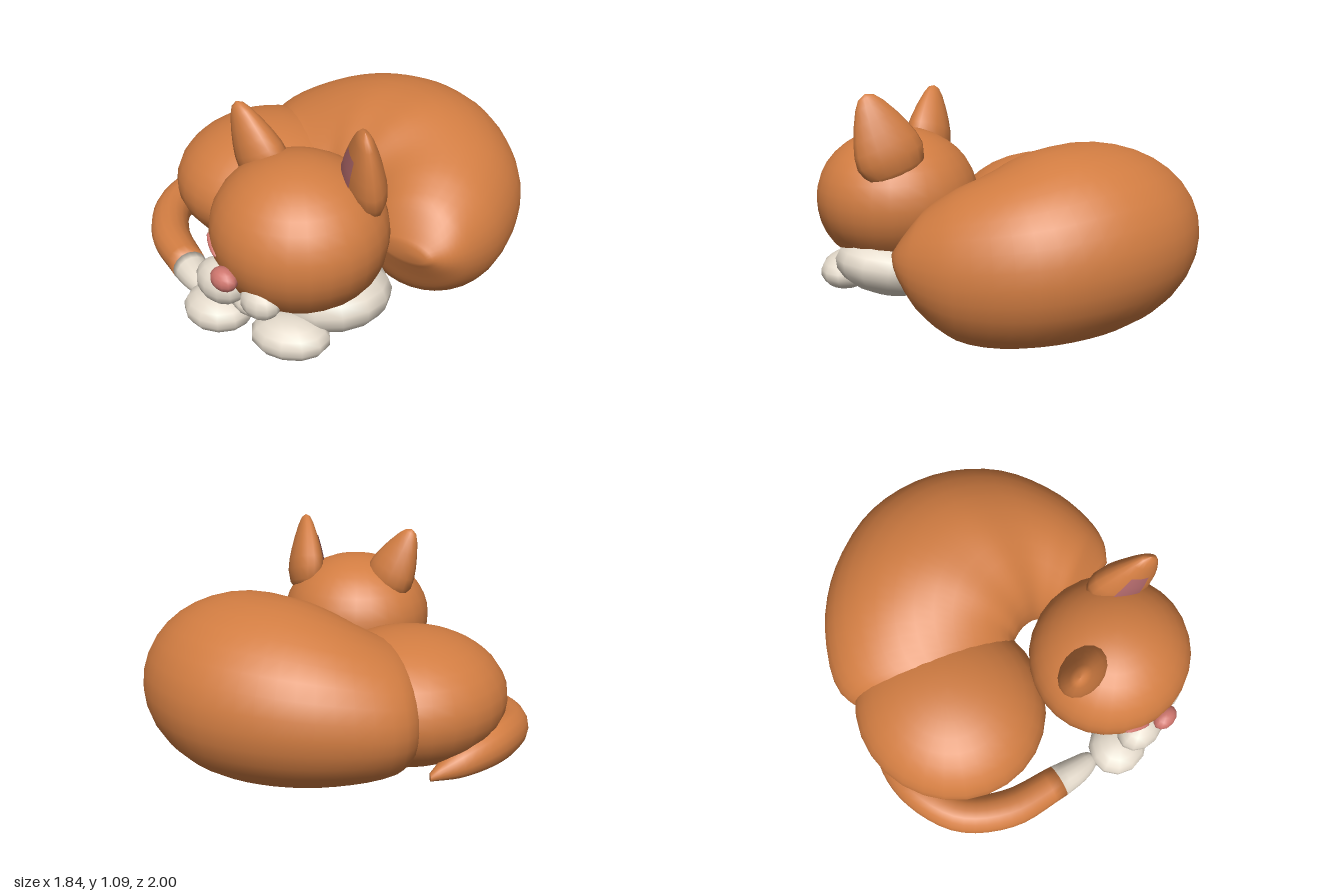
import * as THREE from 'three';

const mat = (name, color, side = THREE.FrontSide) => {
  const m = new THREE.MeshStandardMaterial({ color, side });
  m.name = name;
  return m;
};

// Smooth closed loft resting on the ground. Each station: [x1, z1, x2, z2, half height, centre y]
function loft(stations, steps, sides) {
  const spline = (f) => new THREE.CatmullRomCurve3(stations.map(f));
  const first = spline((s) => new THREE.Vector3(s[0], s[5], s[1]));
  const second = spline((s) => new THREE.Vector3(s[2], s[5], s[3]));
  const heights = spline((s, i) => new THREE.Vector3(s[4], i, 0));
  const pos = [], idx = [];
  for (let i = 0; i <= steps; i++) {
    const t = i / steps;
    const a = first.getPoint(t), b = second.getPoint(t), h = heights.getPoint(t).x;
    const mid = a.clone().add(b).multiplyScalar(0.5);
    const half = b.clone().sub(a).multiplyScalar(0.5);
    for (let j = 0; j < sides; j++) {
      const th = (j / sides) * Math.PI * 2;
      const p = mid.clone().addScaledVector(half, Math.cos(th));
      pos.push(p.x, Math.max(0.004, p.y + h * Math.sin(th)), p.z);
    }
  }
  for (let i = 0; i < steps; i++) {
    for (let j = 0; j < sides; j++) {
      const k = (j + 1) % sides, r = i * sides, n = r + sides;
      idx.push(r + j, r + k, n + j, r + k, n + k, n + j);
    }
  }
  // end caps
  [0, steps].forEach((ring) => {
    const s = stations[ring ? stations.length - 1 : 0];
    const c = pos.length / 3, r = ring * sides;
    pos.push((s[0] + s[2]) / 2, s[5], (s[1] + s[3]) / 2);
    for (let j = 0; j < sides; j++) {
      const k = (j + 1) % sides;
      if (ring) idx.push(c, r + j, r + k);
      else idx.push(c, r + k, r + j);
    }
  });
  const g = new THREE.BufferGeometry();
  g.setAttribute('position', new THREE.Float32BufferAttribute(pos, 3));
  g.setIndex(idx);
  g.computeVertexNormals();
  return g;
}

export function createModel() {
  const fur = mat('orange fur', 0xd27d42);
  const white = mat('cream fur', 0xe4dacb);
  const pink = mat('pink', 0xcf766e);
  const innerPink = mat('inner ear pink', 0xb0686a, THREE.DoubleSide);

  const model = new THREE.Group();
  model.name = 'sleepingCat';

  const add = (name, geo, material, parent = model) => {
    const m = new THREE.Mesh(geo, material);
    m.name = name;
    parent.add(m);
    return m;
  };
  const blob = (name, material, p, r, seg = [12, 9], rot = [0, 0, 0]) => {
    const m = add(name, new THREE.SphereGeometry(1, ...seg), material);
    m.position.set(...p);
    m.scale.set(...r);
    m.rotation.set(...rot);
    return m;
  };

  // Curled body, from inside the haunch round the back to the tapering shoulder
  add('body', loft([
    [-0.2, 0.1, -0.5, 0.05, 0.1, 0.35],
    [-0.02, 0.13, -0.68, -0.19, 0.28, 0.35],
    [0.05, 0.12, -0.745, -0.41, 0.335, 0.36],
    [0.09, 0.08, -0.57, -0.7, 0.395, 0.395],
    [0.13, 0.07, -0.28, -0.91, 0.435, 0.415],
    [0.18, 0.06, 0.08, -1.0, 0.45, 0.418],
    [0.23, 0.06, 0.46, -0.91, 0.443, 0.41],
    [0.29, 0.07, 0.77, -0.66, 0.405, 0.375],
    [0.34, 0.1, 0.91, -0.31, 0.35, 0.345],
    [0.4, 0.14, 0.91, -0.06, 0.25, 0.352],
    [0.47, 0.165, 0.87, 0.06, 0.135, 0.37],
    [0.54, 0.18, 0.79, 0.15, 0.045, 0.38],
  ], 44, 32), fur);

  blob('haunch', fur, [-0.395, 0.355, 0.06], [0.49, 0.335, 0.52], [28, 18]);

  // Tail with a cream tip
  add('tail', loft([
    [-0.73, -0.2, -0.7, -0.17, 0.02, 0.08],
    [-0.86, -0.05, -0.7, -0.02, 0.08, 0.13],
    [-0.92, 0.2, -0.72, 0.2, 0.108, 0.16],
    [-0.845, 0.51, -0.67, 0.41, 0.105, 0.148],
    [-0.61, 0.725, -0.51, 0.55, 0.1, 0.13],
    [-0.295, 0.82, -0.245, 0.65, 0.085, 0.118],
  ], 24, 16), fur);
  add('tailTip', loft([
    [-0.295, 0.82, -0.245, 0.65, 0.085, 0.118],
    [-0.17, 0.84, -0.13, 0.7, 0.068, 0.115],
    [-0.07, 0.83, -0.05, 0.74, 0.045, 0.11],
    [-0.03, 0.8, -0.03, 0.78, 0.015, 0.11],
  ], 9, 16), white);

  // Chest and front paws
  blob('chest', white, [0.46, 0.2, 0.445], [0.31, 0.16, 0.28], [14, 10], [0, -0.2, 0.22]);
  blob('rightPaw', white, [0.1, 0.13, 0.84], [0.175, 0.1, 0.155], [12, 9], [0, 0.25, 0]);
  blob('leftPaw', white, [0.495, 0.13, 0.745], [0.19, 0.1, 0.14], [12, 9], [0, 0.5, 0]);

  // Head with full cheeks: the lower half swells outwards
  const head = blob('head', fur, [0.33, 0.54, 0.522], [0.425, 0.35, 0.412], [28, 18]);
  const hp = head.geometry.attributes.position;
  for (let i = 0; i < hp.count; i++) {
    const y = Math.min(0, hp.getY(i));
    const swell = 1 + 0.22 * y * y;
    hp.setX(i, hp.getX(i) * swell);
    hp.setZ(i, hp.getZ(i) * swell);
  }

  // Face
  blob('rightMuzzle', white, [0.19, 0.35, 0.88], [0.14, 0.105, 0.105]);
  blob('leftMuzzle', white, [0.42, 0.342, 0.85], [0.105, 0.085, 0.085]);
  blob('chin', white, [0.32, 0.268, 0.81], [0.12, 0.062, 0.09]);
  blob('nose', pink, [0.29, 0.44, 0.945], [0.073, 0.055, 0.053]);
  blob('closedEye', pink, [0.13, 0.512, 0.879], [0.075, 0.015, 0.016], [12, 8], [0, -0.45, -0.29]);

  // Ears: flattened rounded leaves pointing from base to tip
  const profile = [[0.001, 0], [0.6, 0.01], [0.88, 0.1], [1, 0.26], [0.95, 0.4], [0.82, 0.55],
    [0.64, 0.71], [0.42, 0.87], [0.24, 0.96], [0.001, 1]].map(([r, y]) => new THREE.Vector2(r, y));
  const ear = (name, base, tip, facing, width, depth, showInner) => {
    const g = new THREE.Group();
    g.name = name;
    const b = new THREE.Vector3(...base);
    const axis = new THREE.Vector3(...tip).sub(b);
    const height = axis.length();
    const y = axis.normalize();
    const x = y.clone().cross(new THREE.Vector3(...facing)).normalize();
    const z = x.clone().cross(y);
    g.quaternion.setFromRotationMatrix(new THREE.Matrix4().makeBasis(x, y, z));
    g.position.copy(b);
    add(name + 'Shell', new THREE.LatheGeometry(profile, 16), fur, g).scale.set(width, height, depth);
    if (showInner) {
      const patch = new THREE.LatheGeometry(profile.slice(3, 7), 5, -0.5, 0.85);
      add(name + 'Inner', patch, innerPink, g).scale.set(width * 1.04, height, depth * 1.05);
    }
    model.add(g);
  };
  ear('rightEar', [0.125, 0.7, 0.5], [-0.03, 1.07, 0.565], [0, 0, 1], 0.145, 0.105, false);
  ear('leftEar', [0.54, 0.685, 0.315], [0.64, 1.097, 0.43], [-0.5, 0, 0.87], 0.175, 0.095, true);

  return model;
}
